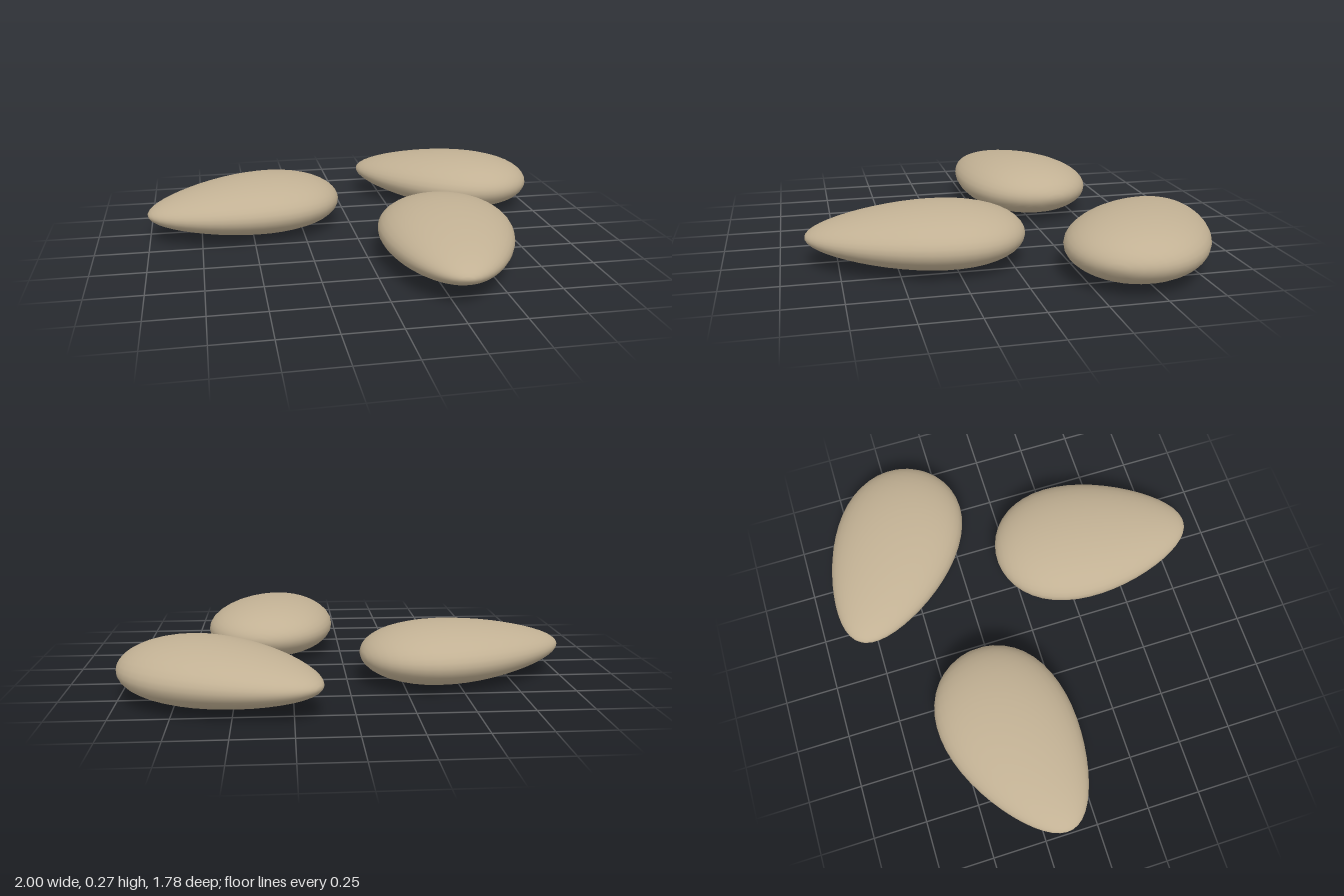
import * as THREE from 'three';
import { mergeVertices } from 'three/addons/utils/BufferGeometryUtils.js';

const HALF_LENGTH = 0.482, HALF_WIDTH = 0.3, HALF_HEIGHT = 0.131, TAPER = 0.25;

// Flattened egg: an ellipsoid along z whose cross-section shrinks towards the tip (+z)
function seedGeometry() {
  let geo = new THREE.SphereGeometry(1, 36, 24);
  geo.rotateX(Math.PI / 2);
  geo.deleteAttribute('uv');
  geo.deleteAttribute('normal');
  geo = mergeVertices(geo, 1e-4);
  const p = geo.attributes.position;
  for (let i = 0; i < p.count; i++) {
    const u = p.getZ(i), k = 1 - TAPER * u;
    p.setXYZ(i, p.getX(i) * HALF_WIDTH * k, p.getY(i) * HALF_HEIGHT * k, u * HALF_LENGTH);
  }
  return geo;
}

export function createModel() {
  const model = new THREE.Group();
  model.name = 'seeds';
  const tan = new THREE.MeshStandardMaterial({ color: 0xc2b194 });
  tan.name = 'seed tan';

  // Heading of the tip in degrees, then the middle of the seed's extents in x and z
  const seeds = [
    ['frontSeed', -7, 0.35, 0.41],
    ['rightSeed', -76, -0.53, -0.265],
    ['backSeed', -123, 0.565, -0.53],
  ];
  for (const [name, heading, x, z] of seeds) {
    const geo = seedGeometry();
    geo.rotateY(THREE.MathUtils.degToRad(heading));
    geo.center();
    geo.computeVertexNormals();
    geo.computeBoundingBox();
    const seed = new THREE.Mesh(geo, tan);
    seed.name = name;
    seed.position.set(x, -geo.boundingBox.min.y, z);
    model.add(seed);
  }
  return model;
}
